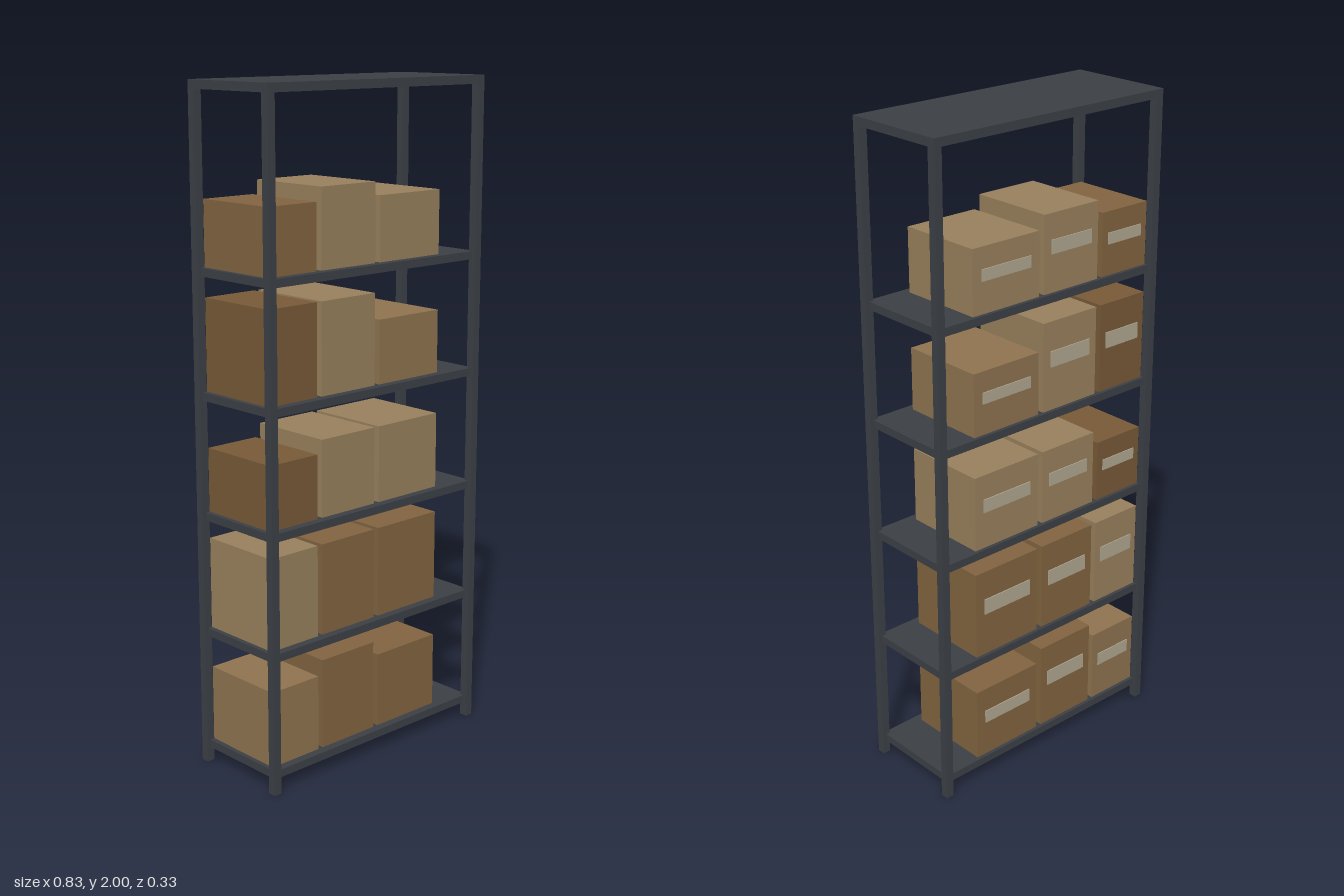
import * as THREE from 'three';

const mat = (color) => new THREE.MeshStandardMaterial({ color, flatShading: true });
const steel = mat(0x3c4046);
const paper = mat(0xb0a892);
const card = { light: mat(0x99815d), mid: mat(0x8f7450), brown: mat(0x826440), dark: mat(0x785a38) };

// Box centred on x and z whose underside rests at y
function addBox(parent, name, [w, h, d], [x, y, z], material) {
  const mesh = new THREE.Mesh(new THREE.BoxGeometry(w, h, d), material);
  mesh.name = name;
  mesh.position.set(x, y + h / 2, z);
  parent.add(mesh);
  return mesh;
}

const POST = 0.025, PX = 0.4025, PZ = 0.153;
const SHELF_TOP = 0.067, STEP = 0.355, THICK = 0.024;
const BACK = -0.142, FRONT = 0.127;

// Left and right edge of each column of cartons
const columns = [[-0.388, -0.211], [-0.193, 0.013], [0.032, 0.273]];

// Height and shade of the cartons, shelf by shelf from the bottom
const stock = [
  [[0.23, 'mid'], [0.275, 'brown'], [0.23, 'brown']],
  [[0.275, 'light'], [0.275, 'brown'], [0.275, 'brown']],
  [[0.19, 'dark'], [0.23, 'light'], [0.23, 'light']],
  [[0.27, 'dark'], [0.27, 'light'], [0.19, 'mid']],
  [[0.19, 'brown'], [0.23, 'light'], [0.19, 'light']],
];

// Carton with a paper label on its back face
function makeCarton([x0, x1], y, h, shade) {
  const carton = new THREE.Group();
  carton.name = 'carton';
  const w = x1 - x0, x = (x0 + x1) / 2;
  addBox(carton, 'cartonBody', [w, h, FRONT - BACK], [x, y, (FRONT + BACK) / 2], card[shade]);
  addBox(carton, 'cartonLabel', [w * 0.74, h * 0.18, 0.004], [x, y + h * 0.49, BACK - 0.001], paper);
  return carton;
}

export function createModel() {
  const model = new THREE.Group();
  model.name = 'storageRack';

  // Corner posts
  for (const sx of [-1, 1]) {
    for (const sz of [-1, 1]) {
      addBox(model, 'post', [POST, 1.98, POST], [sx * PX, 0, sz * PZ], steel);
    }
  }

  // Top panel covers the posts
  addBox(model, 'topPanel', [2 * PX + POST, 0.025, 2 * PZ + POST], [0, 1.975, 0], steel);

  // Shelves and the cartons standing on them
  stock.forEach((row, i) => {
    const y = SHELF_TOP + i * STEP;
    addBox(model, 'shelf', [2 * PX, THICK, 2 * PZ], [0, y - THICK, 0], steel);
    row.forEach(([h, shade], c) => model.add(makeCarton(columns[c], y, h, shade)));
  });

  return model;
}
